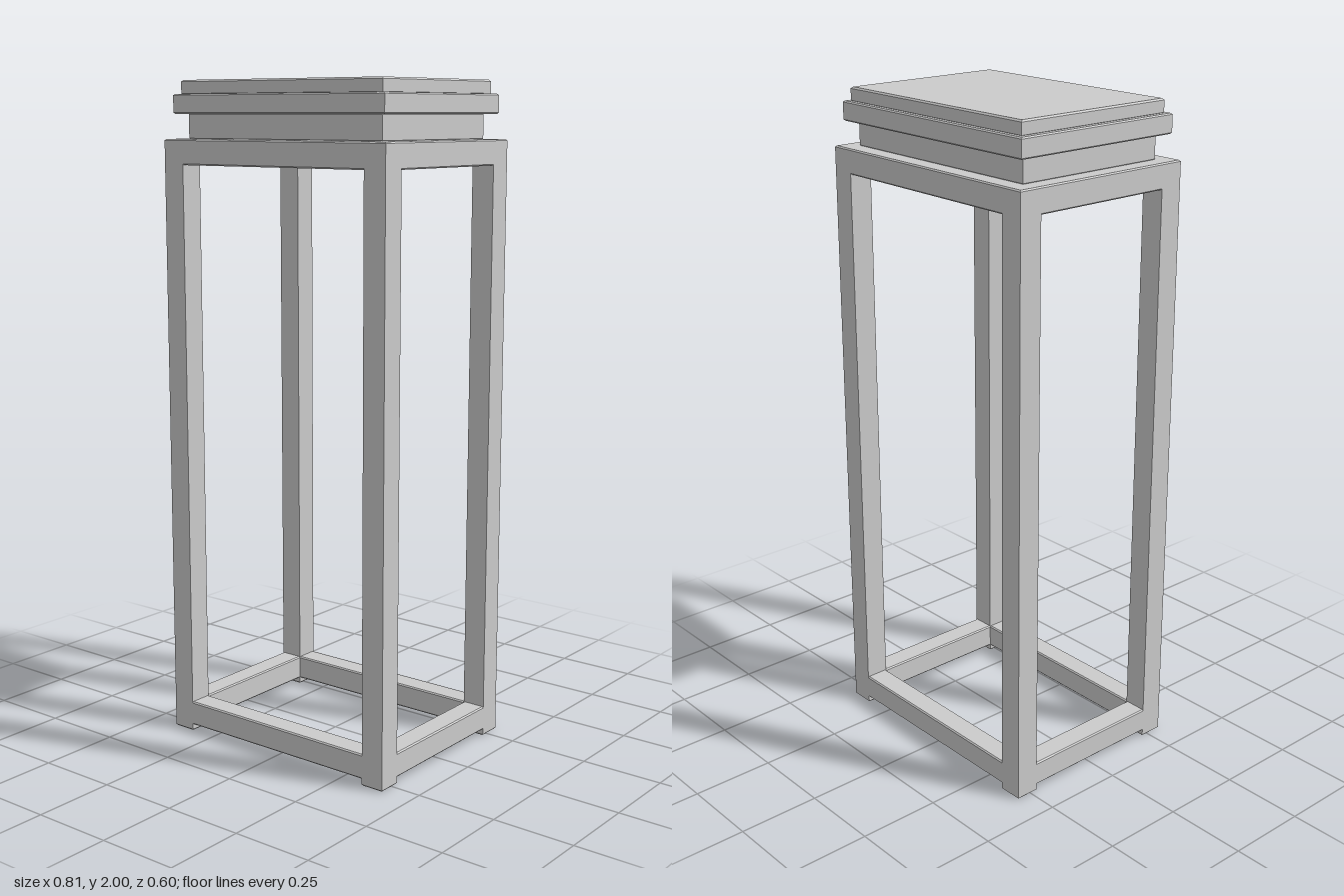
import * as THREE from 'three';

const material = new THREE.MeshStandardMaterial({ color: 0xcccccc, flatShading: true });

function rect(target, hx, hz) {
  target.moveTo(-hx, -hz);
  target.lineTo(hx, -hz);
  target.lineTo(hx, hz);
  target.lineTo(-hx, hz);
  target.closePath();
  return target;
}

// Chamfered block between y0 and y1, optionally with a rectangular opening
function block(name, hx, hz, y0, y1, opening, bevel = 0.004) {
  const shape = rect(new THREE.Shape(), hx, hz);
  if (opening) shape.holes.push(rect(new THREE.Path(), opening[0], opening[1]));
  const geometry = new THREE.ExtrudeGeometry(shape, {
    depth: y1 - y0 - 2 * bevel,
    bevelThickness: bevel,
    bevelSize: bevel,
    bevelOffset: -bevel,
    bevelSegments: 1,
  });
  geometry.rotateX(-Math.PI / 2);
  geometry.translate(0, y0 + bevel, 0);
  const mesh = new THREE.Mesh(geometry, material);
  mesh.name = name;
  return mesh;
}

export function createModel() {
  const model = new THREE.Group();
  model.name = 'pedestalStand';

  const HX = 0.405, HZ = 0.3, T = 0.0725, TOP = 1.83;
  const px = HX - T / 2, pz = HZ - T / 2;
  const overlap = 0.01;

  // Open frame: four corner posts, whose lower ends are the feet
  const frame = new THREE.Group();
  frame.name = 'frame';
  for (const sx of [-1, 1]) {
    for (const sz of [-1, 1]) {
      const post = block('cornerPost', T / 2, T / 2, 0, TOP);
      post.position.set(sx * px, 0, sz * pz);
      frame.add(post);
    }
  }

  // Bottom and top rails joining the posts
  for (const [level, y0, y1] of [['bottom', 0.02, 0.095], ['top', 1.755, TOP]]) {
    for (const s of [-1, 1]) {
      const longRail = block(level + 'LongRail', HX - T + overlap, T / 2, y0, y1);
      longRail.position.z = s * pz;
      const shortRail = block(level + 'ShortRail', T / 2, HZ - T + overlap, y0, y1);
      shortRail.position.x = s * px;
      frame.add(longRail, shortRail);
    }
  }
  model.add(frame);

  // Hollow collar, wide moulding and top panel
  model.add(
    block('collar', 0.355, 0.247, TOP - 0.002, 1.905, [0.315, 0.208]),
    block('topMoulding', 0.386, 0.28, 1.902, 1.96),
    block('topPanel', 0.368, 0.264, 1.956, 2, null, 0.005),
  );
  return model;
}
